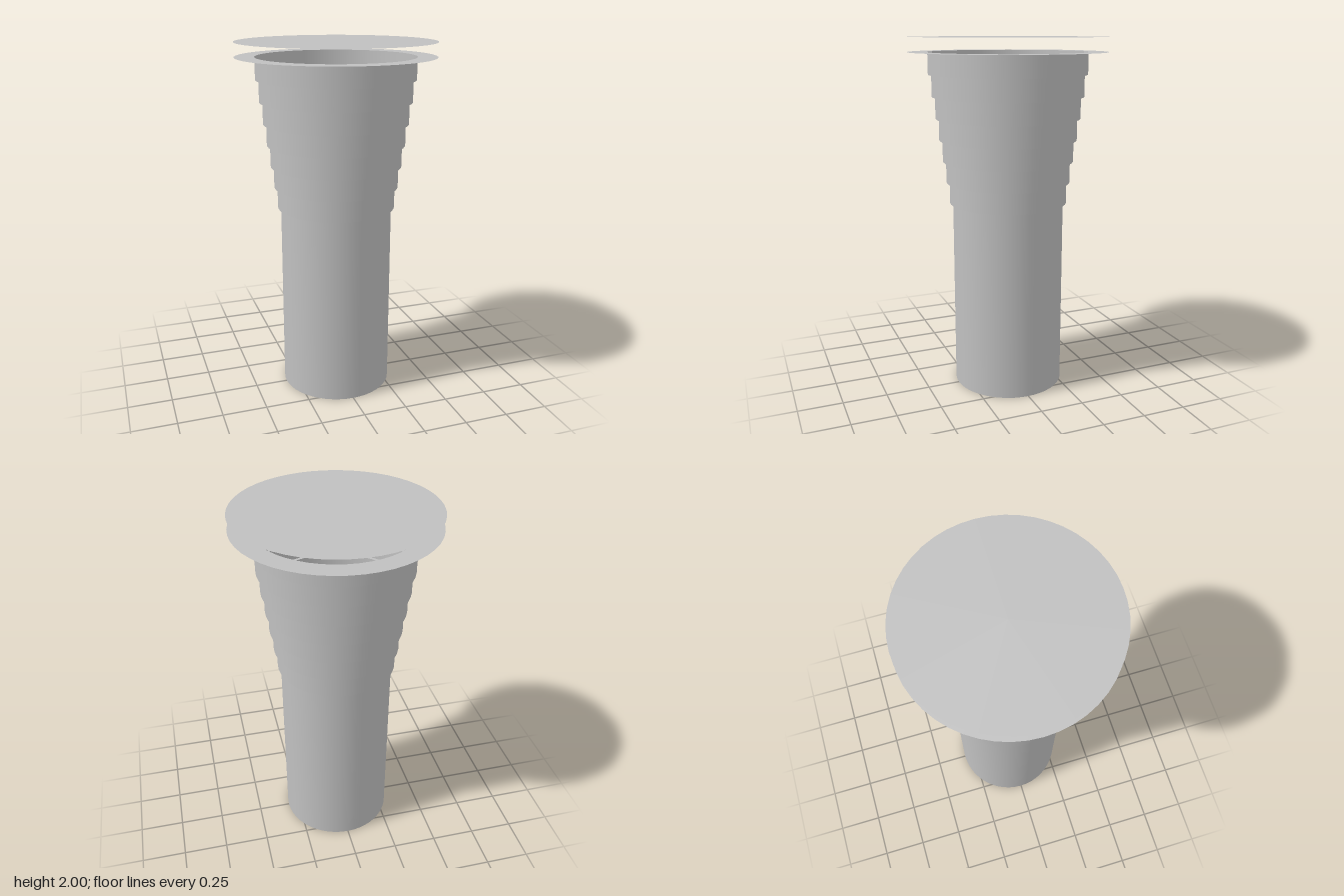
import * as THREE from 'three';

const SEGMENTS = 48;

export function createModel() {
  const model = new THREE.Group();
  const grey = new THREE.MeshStandardMaterial({ color: 0xc0c0c0, side: THREE.DoubleSide });
  grey.name = 'light grey';

  const add = (name, geometry, y) => {
    const mesh = new THREE.Mesh(geometry, grey);
    mesh.name = name;
    mesh.position.y = y;
    model.add(mesh);
  };
  // Open tube standing on y
  const tube = (name, radius, y, height) =>
    add(name, new THREE.CylinderGeometry(radius, radius, height, SEGMENTS, 1, true), y + height / 2);
  // Flat plates lying level, one facing up and one facing down
  const disc = (name, radius, y, down = false) =>
    add(name, new THREE.CircleGeometry(radius, SEGMENTS).rotateX(down ? Math.PI / 2 : -Math.PI / 2), y);
  const ring = (name, inner, outer, y, down = false) =>
    add(name, new THREE.RingGeometry(inner, outer, SEGMENTS).rotateX(down ? Math.PI / 2 : -Math.PI / 2), y);

  // Straight shaft, closed at the foot
  const shaftRadius = 0.315, shaftTop = 1.08;
  disc('shaftBase', shaftRadius, 0, true);
  tube('shaft', shaftRadius, 0, shaftTop);

  // Hollow flare of seven widening steps, each with a ledge underneath
  const steps = 7, rimHeight = 1.92, rimRadius = 0.44;
  const stepHeight = (rimHeight - shaftTop) / steps;
  let below = shaftRadius;
  for (let i = 0; i < steps; i++) {
    const radius = shaftRadius + (rimRadius - shaftRadius) * (i + 1) / steps;
    const y = shaftTop + i * stepHeight;
    ring('stepLedge', below, radius, y, true);
    tube('flareStep', radius, y, stepHeight);
    below = radius;
  }

  // Thin flange round the open rim, and the lid plate held above it
  ring('rimFlange', rimRadius, 0.55, rimHeight);
  disc('lidPlate', 0.55, 2);

  return model;
}
